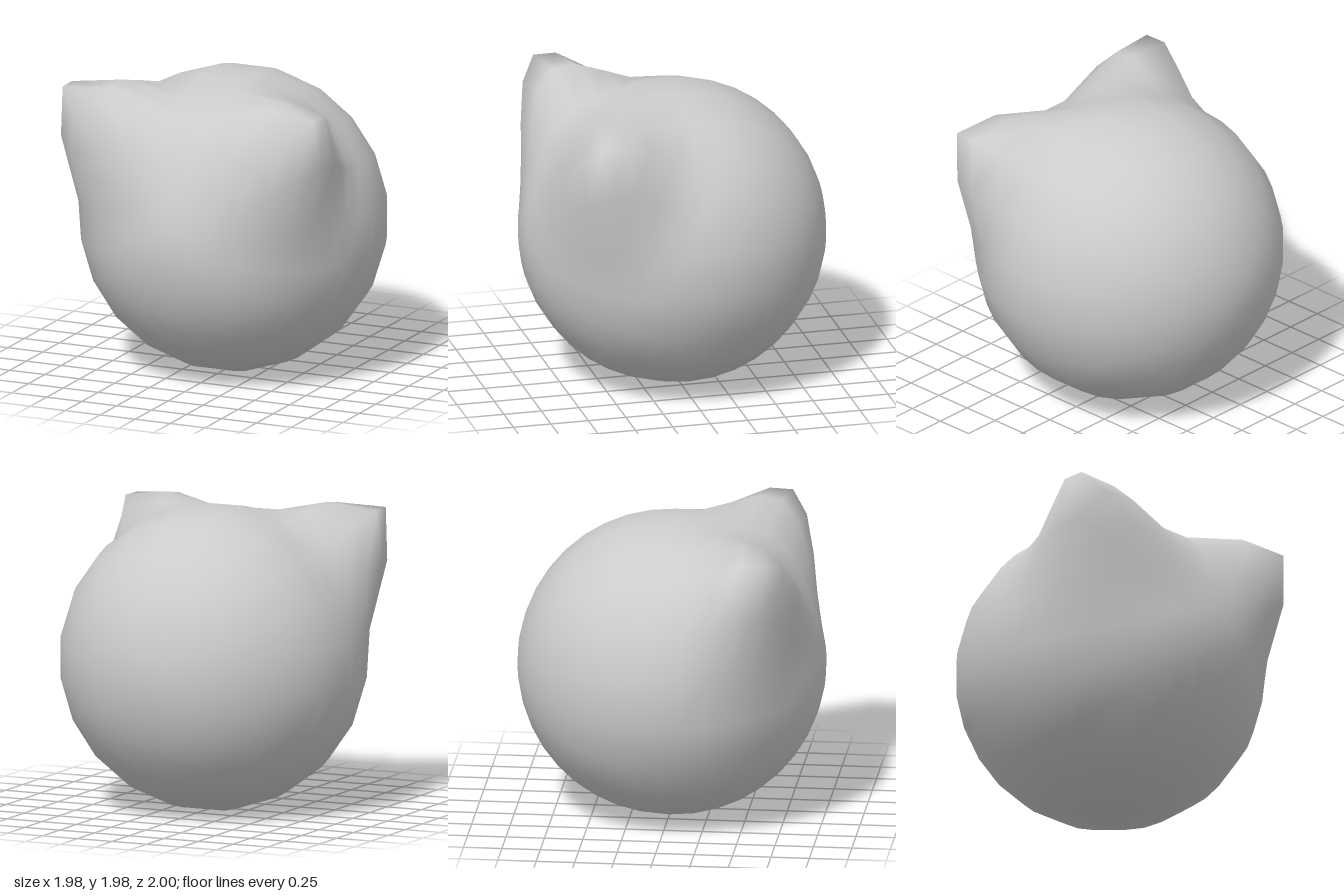
import * as THREE from 'three';
import { mergeVertices } from 'three/addons/utils/BufferGeometryUtils.js';

const SEGMENTS = 20;
const STEP = Math.PI / SEGMENTS;
const CENTRE_Y = Math.cos(STEP); // a flat of the 20-sided outline rests on the ground

// Point on the unit sphere whose poles lie on the z axis
function spherePoint(ring, azimuthDeg) {
  const polar = ring * STEP;
  const azimuth = THREE.MathUtils.degToRad(azimuthDeg);
  return new THREE.Vector3(
    Math.sin(polar) * Math.cos(azimuth),
    Math.sin(polar) * Math.sin(azimuth),
    Math.cos(polar)
  );
}

// Each ear is a soft pull: vertices near the root move by a smooth falloff
const EAR_REACH = 0.62;
const ears = [
  { root: spherePoint(6, 45), pull: new THREE.Vector3(0.32, 0.34, 0.105) },
  { root: spherePoint(6, 135), pull: new THREE.Vector3(-0.325, 0.37, 0.11) },
];

function createHeadGeometry() {
  // Sphere with poles at front and back
  const sphere = new THREE.SphereGeometry(1, SEGMENTS, SEGMENTS, STEP);
  sphere.rotateX(Math.PI / 2);

  // Weld the seam and poles so the shading stays smooth
  sphere.deleteAttribute('uv');
  sphere.deleteAttribute('normal');
  const geometry = mergeVertices(sphere, 1e-4);

  // Pull out the two ears
  const position = geometry.attributes.position;
  const start = new THREE.Vector3();
  const moved = new THREE.Vector3();
  for (let i = 0; i < position.count; i++) {
    start.fromBufferAttribute(position, i);
    moved.copy(start);
    for (const { root, pull } of ears) {
      const closeness = Math.max(0, 1 - start.distanceTo(root) / EAR_REACH);
      moved.addScaledVector(pull, THREE.MathUtils.smoothstep(closeness, 0, 1));
    }
    position.setXYZ(i, moved.x, moved.y, moved.z);
  }

  geometry.translate(0, CENTRE_Y, 0);
  geometry.computeVertexNormals();
  return geometry;
}

export function createModel() {
  const group = new THREE.Group();
  group.name = 'earedBall';

  // Round head with both ears in one continuous skin
  const head = new THREE.Mesh(
    createHeadGeometry(),
    new THREE.MeshStandardMaterial({ color: 0xcccccc })
  );
  head.name = 'headWithEars';
  group.add(head);

  return group;
}
